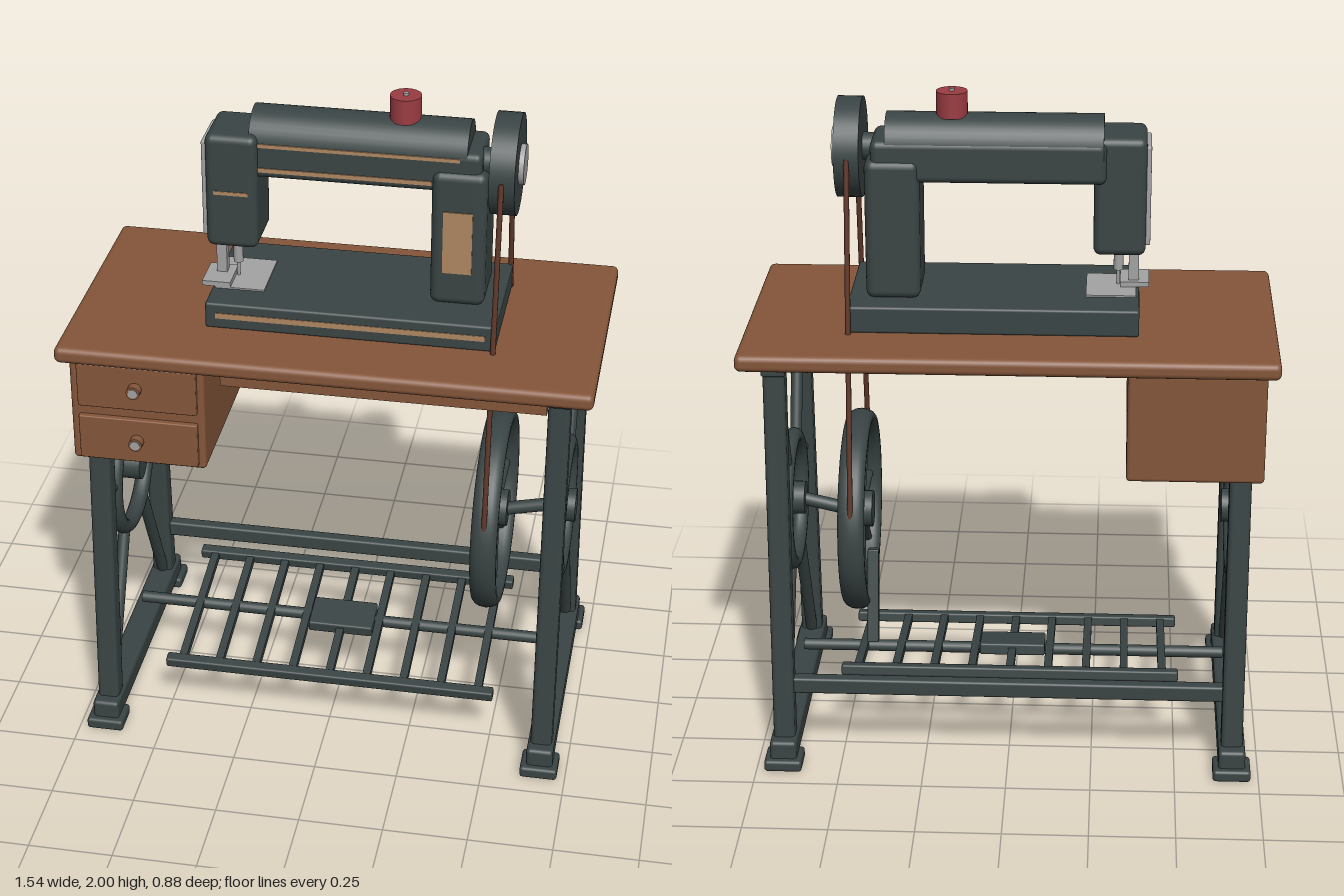
import * as THREE from 'three';
import { RoundedBoxGeometry } from 'three/addons/geometries/RoundedBoxGeometry.js';

const mat = (name, color) => Object.assign(new THREE.MeshStandardMaterial({ color }), { name });

export function createModel() {
  const iron = mat('dark iron', 0x3a4444);
  const wood = mat('brown wood', 0x85563a);
  const gold = mat('gold trim', 0xb08862);
  const steel = mat('steel', 0xa3a3a3);
  const red = mat('red thread', 0x9a3c42);
  const leather = mat('leather belt', 0x5e3628);

  const model = new THREE.Group();
  model.name = 'treadleSewingMachine';
  const V = (x, y, z) => new THREE.Vector3(x, y, z);

  const add = (name, geometry, material, parent = model) => {
    const mesh = new THREE.Mesh(geometry, material);
    mesh.name = name;
    parent.add(mesh);
    return mesh;
  };
  // Box given by its limits on each axis, with optional rounded edges
  const box = (name, material, [x0, x1], [y0, y1], [z0, z1], r = 0, parent = model) => {
    const s = [x1 - x0, y1 - y0, z1 - z0];
    const g = r ? new RoundedBoxGeometry(...s, 3, r) : new THREE.BoxGeometry(...s);
    const mesh = add(name, g, material, parent);
    mesh.position.set((x0 + x1) / 2, (y0 + y1) / 2, (z0 + z1) / 2);
    return mesh;
  };
  // Round rod between two points
  const rod = (name, material, a, b, r, parent = model, sides = 20) => {
    const d = b.clone().sub(a);
    const mesh = add(name, new THREE.CylinderGeometry(r, r, d.length(), sides), material, parent);
    mesh.position.copy(a).add(b).multiplyScalar(0.5);
    mesh.quaternion.setFromUnitVectors(V(0, 1, 0), d.normalize());
    return mesh;
  };
  // Rectangular bar between two points of one side plane
  const bar = (name, material, a, b, w, d, r, parent = model) => {
    const mesh = add(name, new RoundedBoxGeometry(w, a.distanceTo(b), d, 2, r), material, parent);
    mesh.position.copy(a).add(b).multiplyScalar(0.5);
    mesh.rotation.x = Math.atan2(b.z - a.z, b.y - a.y);
    return mesh;
  };
  // Ring facing sideways
  const ring = (name, x, y, radius, tube, widen, parent) => {
    const mesh = add(name, new THREE.TorusGeometry(radius, tube, 14, 64), iron, parent);
    mesh.position.set(x, y, 0);
    mesh.rotation.y = Math.PI / 2;
    mesh.scale.z = widen;
  };

  // Table, drawer cabinet and apron
  box('tableTop', wood, [-0.77, 0.77], [1.27, 1.32], [-0.4, 0.4], 0.018);
  box('drawerCabinet', wood, [-0.735, -0.34], [0.94, 1.272], [-0.365, 0.365], 0.012);
  box('apron', wood, [-0.305, 0.635], [1.195, 1.272], [0.285, 0.31]);
  for (const y of [1.2, 1.027]) {
    box('drawerFront', wood, [-0.71, -0.36], [y - 0.072, y + 0.068], [0.36, 0.382], 0.004);
    rod('drawerKnob', wood, V(-0.538, y, 0.38), V(-0.538, y, 0.408), 0.02);
    rod('knobCap', steel, V(-0.538, y, 0.407), V(-0.538, y, 0.411), 0.014);
  }

  // Iron side frames
  for (const s of [-1, 1]) {
    const frame = new THREE.Group();
    frame.name = s < 0 ? 'rightSideFrame' : 'leftSideFrame';
    model.add(frame);
    const x = s * 0.67;
    box('topRail', iron, [x - 0.035, x + 0.035], [1.23, 1.272], [-0.33, 0.33], 0.008, frame);
    box('baseRail', iron, [x - 0.04, x + 0.04], [0.02, 0.09], [-0.42, 0.42], 0.012, frame);
    ring('frameRing', x, 0.7, 0.193, 0.025, 1, frame);
    rod('frameHub', iron, V(x - 0.04, 0.705, 0), V(x + 0.04, 0.705, 0), 0.05, frame, 28);
    for (const k of [-1, 1]) {
      bar('leg', iron, V(x, 0.05, k * 0.352), V(x, 1.25, k * 0.285), 0.064, 0.07, 0.014, frame);
      box('foot', iron, [x - 0.056, x + 0.056], [0, 0.036], [k * 0.39 - 0.05, k * 0.39 + 0.05], 0.01, frame);
      rod('upperStrut', iron, V(x, 1.24, k * 0.265), V(x, 0.86, k * 0.115), 0.018, frame);
      rod('lowerStrut', iron, V(x, 0.54, k * 0.1), V(x, 0.07, k * 0.335), 0.018, frame);
      rod('ringStub', iron, V(x, 0.74, k * 0.19), V(x, 0.76, k * 0.31), 0.015, frame);
    }
  }
  box('rearStretcher', iron, [-0.66, 0.66], [0.225, 0.275], [-0.36, -0.32], 0.008);

  // Treadle, rocking on a long rod
  rod('treadleRod', iron, V(-0.65, 0.202, 0), V(0.65, 0.202, 0), 0.018);
  const treadle = new THREE.Group();
  treadle.name = 'treadle';
  treadle.position.set(0, 0.205, 0.02);
  treadle.rotation.x = 0.15;
  model.add(treadle);
  for (const z of [-0.25, 0.25]) {
    box('treadleEdge', iron, [-0.508, 0.508], [-0.016, 0.016], [z - 0.018, z + 0.018], 0.006, treadle);
  }
  for (let i = 0; i < 9; i++) {
    const x = -0.46 + i * 0.115;
    box('treadleSlat', iron, [x - 0.012, x + 0.012], [-0.012, 0.012], [-0.25, 0.25], 0, treadle);
  }
  box('treadleCentrePlate', iron, [-0.1, 0.1], [-0.012, 0.024], [-0.07, 0.05], 0.006, treadle);

  // Flywheel with spokes, axle and pitman bar
  const flywheel = new THREE.Group();
  flywheel.name = 'flywheel';
  model.add(flywheel);
  const fx = 0.465, fy = 0.672;
  ring('flywheelRim', fx, fy, 0.281, 0.025, 1.6, flywheel);
  rod('flywheelHub', iron, V(fx - 0.04, fy, 0), V(fx + 0.04, fy, 0), 0.055, flywheel, 28);
  for (let i = 0; i < 8; i++) {
    const a = i * Math.PI / 4;
    rod('spoke', iron, V(fx, fy, 0), V(fx, fy + 0.275 * Math.cos(a), 0.275 * Math.sin(a)), 0.014, flywheel, 12);
  }
  rod('axle', iron, V(0.49, 0.668, 0), V(0.65, 0.705, 0), 0.02);
  bar('pitmanBar', iron, V(0.417, 0.585, -0.1), V(0.417, 0.305, -0.168), 0.034, 0.03, 0.004);

  // Drive belt
  for (const k of [-1, 1]) {
    rod('belt', leather, V(0.465, 1.82, k * 0.14), V(0.465, 0.76, k * 0.283), 0.008, model, 10);
  }

  // Machine bed, pillar, arm and head
  box('bed', iron, [-0.37, 0.47], [1.32, 1.4], [-0.2, 0.2], 0.008);
  box('pillar', iron, [0.262, 0.42], [1.395, 1.81], [-0.122, 0.083], 0.025);
  box('armBase', iron, [-0.27, 0.402], [1.743, 1.865], [-0.113, 0.07], 0.02);
  rod('armBarrel', iron, V(-0.262, 1.837, -0.021), V(0.36, 1.837, -0.021), 0.091, model, 40);
  box('head', iron, [-0.385, -0.235], [1.527, 1.876], [-0.095, 0.095], 0.022);
  box('facePlate', steel, [-0.398, -0.382], [1.555, 1.85], [-0.075, 0.075], 0.006);

  // Gold trim
  box('bedStripe', gold, [-0.34, 0.44], [1.353, 1.37], [0.197, 0.202]);
  box('armUpperStripe', gold, [-0.235, 0.34], [1.84, 1.851], [0.067, 0.073]);
  box('armLowerStripe', gold, [-0.235, 0.262], [1.764, 1.777], [0.067, 0.073]);
  box('headStripe', gold, [-0.36, -0.26], [1.695, 1.706], [0.091, 0.097]);
  box('pillarPanel', gold, [0.298, 0.382], [1.5, 1.692], [0.079, 0.086]);

  // Needle, presser and plate
  box('needlePlate', steel, [-0.36, -0.215], [1.397, 1.405], [-0.085, 0.105]);
  rod('needleBar', steel, V(-0.308, 1.45, 0.02), V(-0.308, 1.54, 0.02), 0.014);
  rod('needle', steel, V(-0.308, 1.4, 0.02), V(-0.308, 1.46, 0.02), 0.005, model, 10);
  box('presserBar', steel, [-0.368, -0.338], [1.41, 1.54], [0.01, 0.04]);
  box('presserFoot', steel, [-0.398, -0.315], [1.405, 1.42], [-0.01, 0.105]);

  // Handwheel
  rod('handwheelShaft', iron, V(0.35, 1.82, 0), V(0.45, 1.82, 0), 0.04);
  rod('handwheel', iron, V(0.43, 1.818, 0), V(0.502, 1.818, 0), 0.145, model, 48);
  rod('handwheelCap', steel, V(0.49, 1.818, 0), V(0.517, 1.818, 0), 0.058, model, 32);

  // Thread spool on its pin
  rod('threadSpool', red, V(0.172, 1.92, -0.022), V(0.172, 1.993, -0.022), 0.045, model, 32);
  rod('spoolPin', steel, V(0.172, 1.9, -0.022), V(0.172, 2, -0.022), 0.008, model, 12);

  return model;
}
